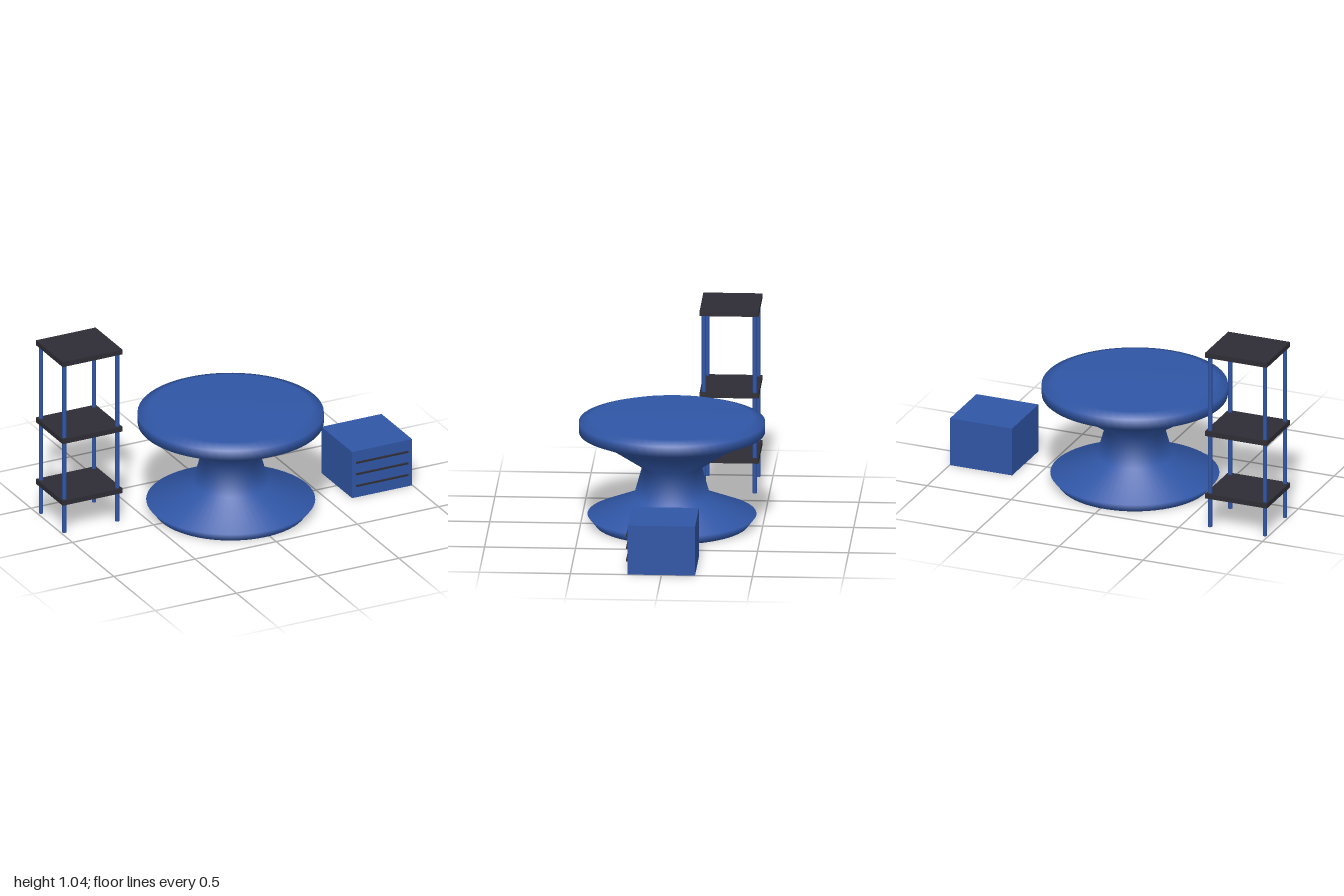
import * as THREE from 'three';

export function createModel() {
  const model = new THREE.Group();
  const blue = new THREE.MeshStandardMaterial({ color: 0x3056a6 });
  blue.name = 'blue';
  const charcoal = new THREE.MeshStandardMaterial({ color: 0x2e2d35 });
  charcoal.name = 'charcoal';

  const add = (parent, name, geometry, material, x, y, z) => {
    const mesh = new THREE.Mesh(geometry, material);
    mesh.name = name;
    mesh.position.set(x, y, z);
    parent.add(mesh);
  };
  const group = (name, x, z) => {
    const g = new THREE.Group();
    g.name = name;
    g.position.set(x, 0, z);
    model.add(g);
    return g;
  };

  // Round pedestal table, turned in one piece
  const profile = [
    [0, 0], [0.42, 0], [0.464, 0.056], [0.209, 0.163], [0.163, 0.327],
    [0.37, 0.466], [0.511, 0.524], [0.511, 0.583], [0.445, 0.604], [0, 0.604],
  ].map(([r, y]) => new THREE.Vector2(r, y));
  const table = group('table', -0.025, 0);
  add(table, 'pedestalTable', new THREE.LatheGeometry(profile, 64), blue, 0, 0, 0);

  // Tall shelf: four round posts and three boards
  const shelf = group('shelf', -0.816, -0.279);
  const post = new THREE.CylinderGeometry(0.0115, 0.0115, 1.012, 16);
  for (const sx of [-1, 1]) {
    for (const sz of [-1, 1]) add(shelf, 'shelfPost', post, blue, sx * 0.163, 0.506, sz * 0.14);
  }
  const board = new THREE.BoxGeometry(0.368, 0.029, 0.324);
  for (const y of [0.187, 0.559, 1.025]) add(shelf, 'shelfBoard', board, charcoal, 0, y, 0);

  // Low cabinet with three drawer slots on its front
  const cabinet = group('cabinet', 0.813, 0);
  add(cabinet, 'cabinetBody', new THREE.BoxGeometry(0.37, 0.279, 0.37), blue, 0, 0.1395, 0);
  const slot = new THREE.BoxGeometry(0.32, 0.008, 0.012);
  for (const y of [0.071, 0.142, 0.211]) add(cabinet, 'drawerSlot', slot, charcoal, -0.002, y, 0.19);

  return model;
}
